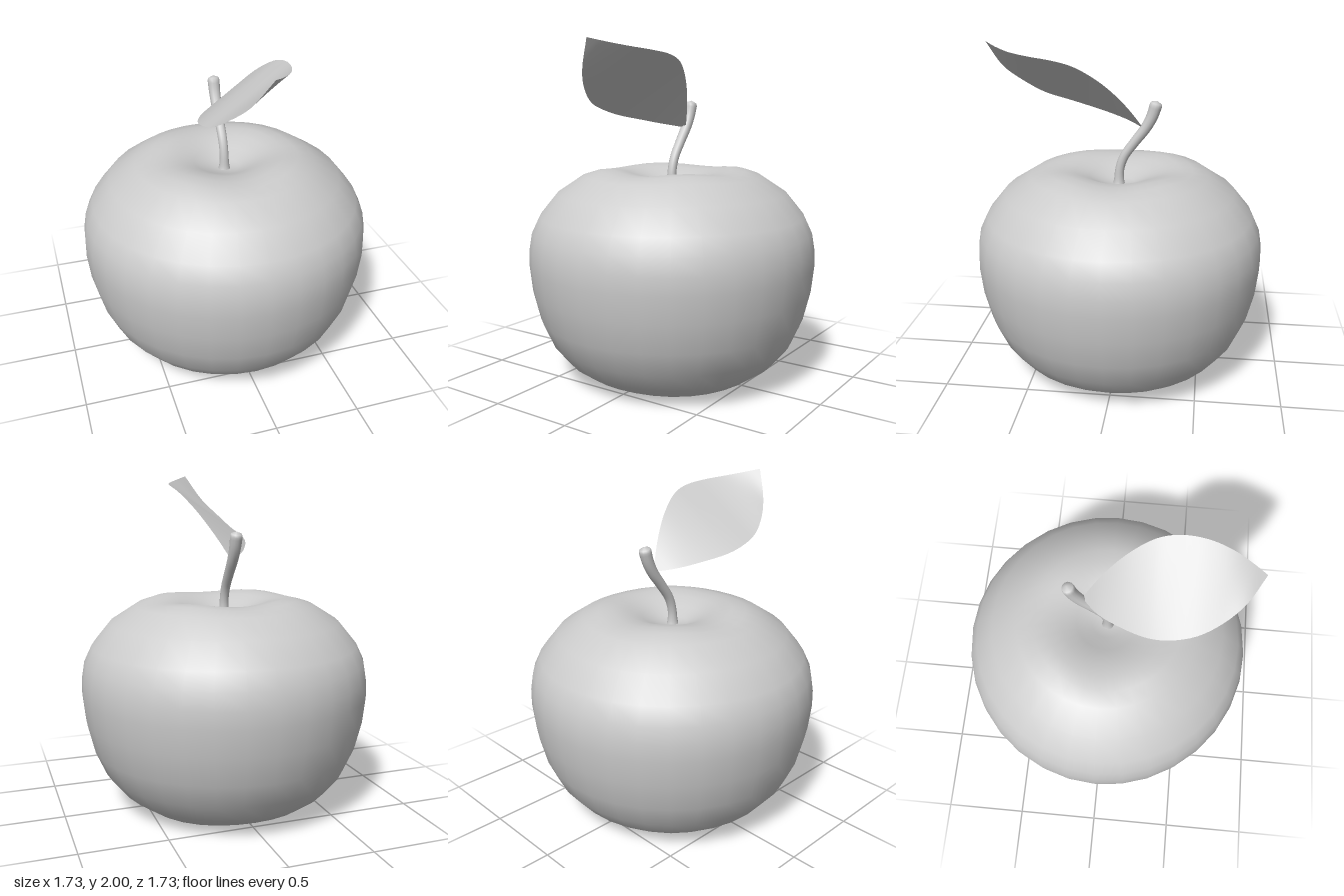
import * as THREE from 'three';
import { mergeVertices } from 'three/addons/utils/BufferGeometryUtils.js';

const grey = new THREE.MeshStandardMaterial({ color: 0xcccccc });
const greyThin = new THREE.MeshStandardMaterial({ color: 0xcccccc, side: THREE.DoubleSide });

// Weld seams and poles, then compute smooth normals
function smooth(geometry) {
  geometry.deleteAttribute('uv');
  geometry.deleteAttribute('normal');
  const welded = mergeVertices(geometry, 1e-4);
  welded.computeVertexNormals();
  return welded;
}

// Grid surface from a function (u, v in 0..1) -> Vector3
function surface(cols, rows, point) {
  const pos = [], index = [];
  for (let j = 0; j <= rows; j++) {
    for (let i = 0; i <= cols; i++) pos.push(...point(i / cols, j / rows).toArray());
  }
  for (let j = 0; j < rows; j++) {
    for (let i = 0; i < cols; i++) {
      const a = j * (cols + 1) + i, b = a + 1, c = a + cols + 1, d = c + 1;
      index.push(a, c, b, b, c, d);
    }
  }
  const g = new THREE.BufferGeometry();
  g.setAttribute('position', new THREE.Float32BufferAttribute(pos, 3));
  g.setIndex(index);
  return g;
}

// Fruit: lathed profile with hollows at both ends and four faint lobes
function makeFruit() {
  const profile = [
    [0, 0.09], [0.05, 0.085], [0.13, 0.06], [0.24, 0.025], [0.36, 0.01], [0.46, 0.018], [0.54, 0.04],
    [0.645, 0.115], [0.74, 0.23], [0.805, 0.375], [0.847, 0.545], [0.864, 0.7], [0.862, 0.8],
    [0.845, 0.9], [0.8, 0.995], [0.69, 1.13], [0.535, 1.23], [0.44, 1.256], [0.36, 1.262],
    [0.27, 1.25], [0.18, 1.215], [0.09, 1.175], [0, 1.16],
  ].map(([r, y]) => new THREE.Vector2(r, y));
  const g = new THREE.LatheGeometry(profile, 32);
  const p = g.attributes.position;
  for (let i = 0; i < p.count; i++) {
    const x = p.getX(i), y = p.getY(i), z = p.getZ(i), r = Math.hypot(x, z);
    const weight = Math.exp(-(((r - 0.4) / 0.14) ** 2));
    const lobe = -0.01 * Math.cos(4 * Math.atan2(z, x)) * weight;
    p.setY(i, y + (y > 0.65 ? lobe : -lobe));
  }
  return smooth(g);
}

// Stem: curved tube, flared at the foot, thicker toward a rounded tip
function makeStem() {
  const path = new THREE.CatmullRomCurve3([
    [1.14, 0.005], [1.25, 0], [1.33, -0.025], [1.425, -0.09], [1.505, -0.15], [1.58, -0.19], [1.672, -0.218],
  ].map(([y, z]) => new THREE.Vector3(0, y, z)));
  const radiusAt = (t) => {
    const body = 0.026 + 0.012 * t * t + 0.02 * Math.exp(-t * 18);
    const tip = t > 0.95 ? Math.sqrt(Math.max(0, 1 - ((t - 0.95) / 0.05) ** 2)) : 1;
    return body * tip;
  };
  const side = new THREE.Vector3(1, 0, 0);
  return smooth(surface(12, 40, (u, v) => {
    const a = u * Math.PI * 2, r = radiusAt(v);
    const up = new THREE.Vector3().crossVectors(path.getTangentAt(v), side);
    return path.getPointAt(v)
      .addScaledVector(side, -r * Math.cos(a))
      .addScaledVector(up, -r * Math.sin(a));
  }));
}

// Leaf: thin twisted blade spanned between its low right edge and high left edge
function makeLeaf() {
  const rows = [ // z, half width, low edge y, high edge y
    [-0.14, 0, 1.51, 1.51], [-0.046, 0.083, 1.532, 1.65], [0.083, 0.158, 1.56, 1.79],
    [0.23, 0.216, 1.59, 1.89], [0.347, 0.23, 1.62, 1.925], [0.486, 0.21, 1.665, 1.943],
    [0.61, 0.156, 1.746, 1.958], [0.708, 0.082, 1.842, 1.978], [0.78, 0, 1.998, 1.998],
  ];
  const edge = (s, k) => new THREE.CatmullRomCurve3(
    rows.map((r) => new THREE.Vector3(s * r[1] - 0.005 + (r[1] ? 0 : 0.013), r[k], r[0])));
  const low = edge(-1, 2), high = edge(1, 3);
  return smooth(surface(8, 32, (u, v) => low.getPoint(v).lerp(high.getPoint(v), u)));
}

export function createModel() {
  const model = new THREE.Group();
  const add = (name, geometry, material) => {
    const mesh = new THREE.Mesh(geometry, material);
    mesh.name = name;
    model.add(mesh);
  };
  add('fruit', makeFruit(), grey);
  add('stem', makeStem(), greyThin);
  add('leaf', makeLeaf(), greyThin);
  return model;
}
